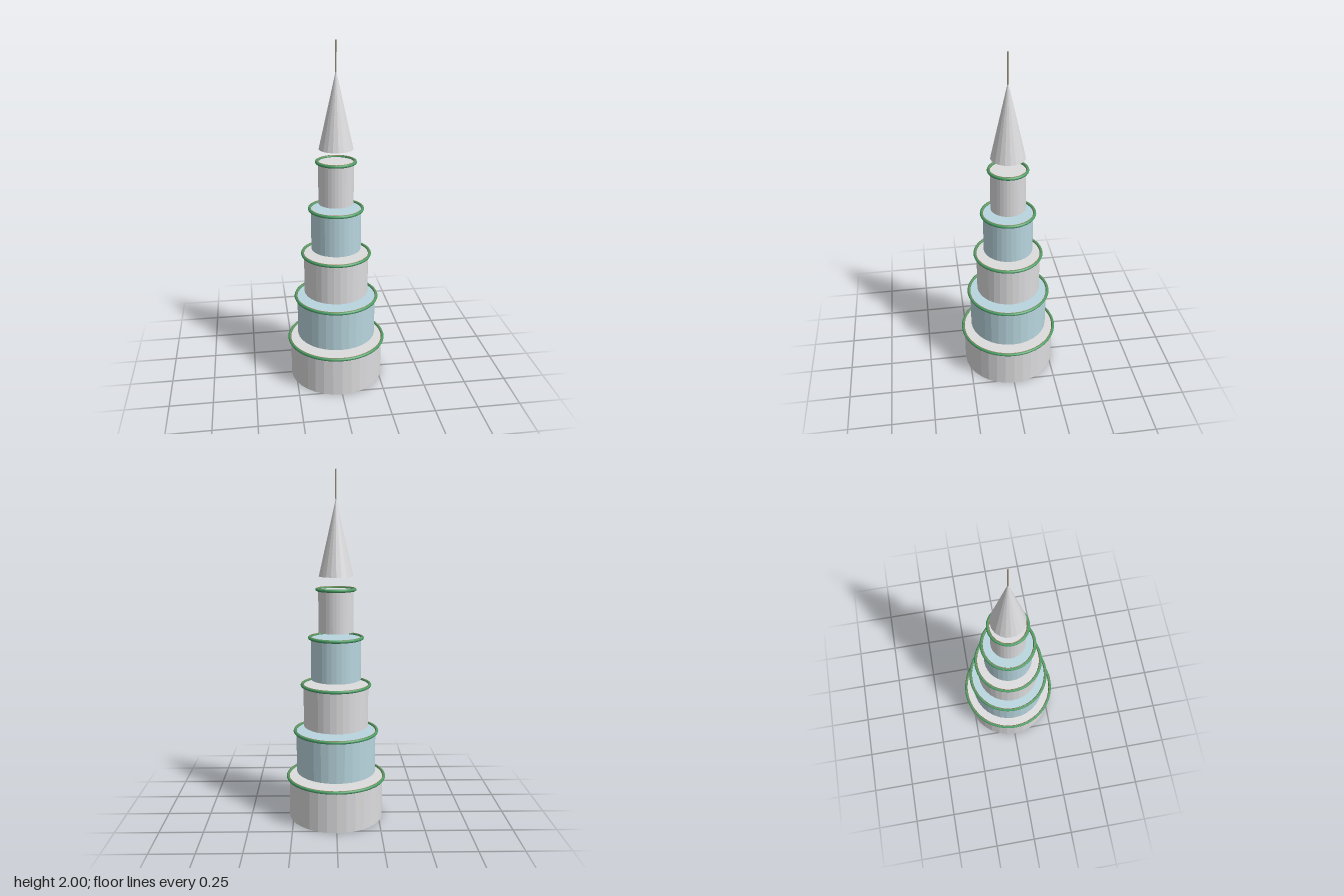
import * as THREE from 'three';

export function createModel() {
  const group = new THREE.Group();
  const mat = (name, color, flatShading = false) => {
    const m = new THREE.MeshStandardMaterial({ color, flatShading });
    m.name = name;
    return m;
  };
  const silver = mat('silver', 0xdcdcde, true);
  const paleBlue = mat('pale blue', 0xb8d5de, true);
  const green = mat('green', 0x4a9e66);
  const copper = mat('copper', 0xb8805a);
  const tan = mat('tan', 0xb8b09c);

  const add = (name, geometry, material, y) => {
    const mesh = new THREE.Mesh(geometry, material);
    mesh.name = name;
    mesh.position.y = y;
    group.add(mesh);
  };
  const ring = (radius, tube, sides) =>
    new THREE.TorusGeometry(radius, tube, sides, 64).rotateX(Math.PI / 2);

  // Five floating drums, each with a green rim and a fine inner trim line
  const height = 0.24, pitch = 0.275;
  for (let i = 0; i < 5; i++) {
    const r = 0.275 - i * 0.0437, base = i * pitch;
    add('tier' + (i + 1), new THREE.CylinderGeometry(r, r, height, 32),
      i % 2 ? paleBlue : silver, base + height / 2);
    add('rim' + (i + 1), ring(r + 0.0075, 0.009, 8), green, base + 0.242);
    add('rimTrim' + (i + 1), ring(r + 0.0035, 0.0016, 6), copper, base + 0.2498);
  }

  // Pointed roof and needle
  add('spire', new THREE.ConeGeometry(0.097, 0.43, 20), silver, 1.415 + 0.215);
  add('needle', new THREE.CylinderGeometry(0.004, 0.004, 0.17, 8), tan, 1.915);
  return group;
}
